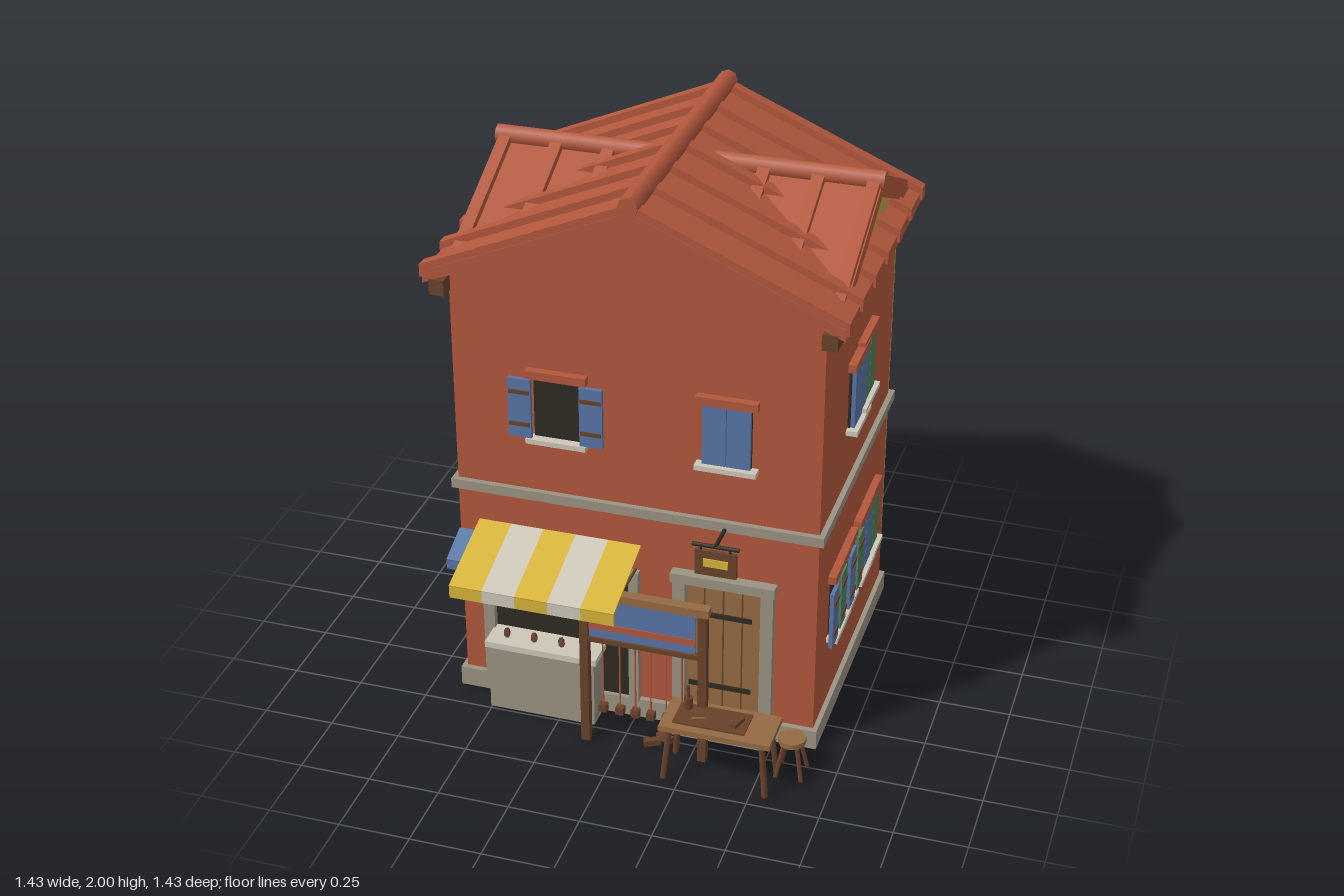
import * as THREE from 'three';

const mat = (name, color) => {
  const m = new THREE.MeshStandardMaterial({ color });
  m.name = name;
  return m;
};
const red = mat('terracotta', 0xb3583d), yellow = mat('ochre plaster', 0xc6a44f), stone = mat('stone', 0x9b9383),
  pale = mat('pale stone', 0xcdc7b8), blue = mat('blue paint', 0x5876a6), green = mat('green paint', 0x52825f),
  dark = mat('dark opening', 0x2e2b22), wood = mat('wood', 0x946a42), darkWood = mat('dark wood', 0x69422b),
  gold = mat('awning yellow', 0xd8b43a);

const add = (parent, name, geo, m) => {
  const mesh = new THREE.Mesh(geo, m);
  mesh.name = name;
  parent.add(mesh);
  return mesh;
};
// Box given by its limits
const box = (p, name, m, x0, x1, y0, y1, z0, z1) => {
  const b = add(p, name, new THREE.BoxGeometry(x1 - x0, y1 - y0, z1 - z0), m);
  b.position.set((x0 + x1) / 2, (y0 + y1) / 2, (z0 + z1) / 2);
  return b;
};
// Round bar between two points
const rod = (p, name, m, a, b, r, sides = 6) => {
  const A = new THREE.Vector3(...a), B = new THREE.Vector3(...b), d = B.clone().sub(A);
  const c = add(p, name, new THREE.CylinderGeometry(r, r, d.length(), sides), m);
  c.position.copy(A).add(B).multiplyScalar(0.5);
  c.quaternion.setFromUnitVectors(new THREE.Vector3(0, 1, 0), d.normalize());
  return c;
};
// Extruded outline, centred on its depth
const prism = (p, name, m, pts, depth) => {
  const g = new THREE.ExtrudeGeometry(new THREE.Shape(pts.map(q => new THREE.Vector2(...q))), { depth, bevelEnabled: false });
  return add(p, name, g.translate(0, 0, -depth / 2), m);
};
// Two roof slopes meeting at an apex
const chevron = (p, name, h, apex, slope, t, depth) => {
  const e = apex - slope * h;
  return prism(p, name, red, [[-h, e - t], [0, apex - t], [h, e - t], [h, e], [0, apex], [-h, e]], depth);
};
// Local wall frame: x along the wall, z outward
const wall = (p, name, x, z, turn) => {
  const g = new THREE.Group();
  g.name = name;
  g.position.set(x, 0, z);
  g.rotation.y = turn;
  p.add(g);
  return g;
};

function shutterWindow(p, u, y, paint, open) {
  const w = wall(p, 'window', u, 0, 0), k = paint === green ? -0.002 : 0;
  w.position.y = y;
  box(w, 'opening', dark, -0.082, 0.082, 0, 0.22, 0, 0.008 + k);
  box(w, 'sill', pale, -0.105, 0.105, -0.018, 0, 0, 0.04 + k);
  box(w, 'lintel', red, -0.105, 0.105, 0.22, 0.25, 0, 0.028 + k);
  for (const s of [-1, 1]) {
    const c = s * (open ? 0.124 : 0.0415), z = open ? 0.022 : 0.01;
    box(w, 'shutter', paint, c - 0.04, c + 0.04, 0.002, 0.22, z + k, z + 0.014 + k);
    if (open) for (const h of [0.045, 0.165])
      box(w, 'strap', darkWood, c - 0.036, c + 0.036, h, h + 0.014, z + 0.01, z + 0.018 + k);
  }
}

function plankDoor(p, u, planks = 4) {
  const d = wall(p, 'door', u, 0, 0), pw = 0.265 / planks;
  box(d, 'doorBack', darkWood, -0.133, 0.133, 0.07, 0.6, 0, 0.006);
  for (let i = 0; i < planks; i++)
    box(d, 'plank', wood, -0.1325 + i * pw + 0.003, -0.1325 + (i + 1) * pw - 0.003, 0.075, 0.6, 0, 0.014);
  for (const y of [0.18, 0.47]) box(d, 'hingeStrap', dark, -0.12, 0.1, y, y + 0.018, 0.014, 0.02);
  for (const s of [-1, 1]) box(d, 'jamb', stone, s * 0.154 - 0.022, s * 0.154 + 0.022, 0, 0.6, 0, 0.03);
  box(d, 'doorLintel', stone, -0.182, 0.182, 0.6, 0.635, 0, 0.04);
  box(d, 'doorStep', stone, -0.17, 0.17, 0, 0.035, 0, 0.082);
}

function awning(p, name, colors, x0, x1, z0, z1, yTop, yBot, drop) {
  const a = wall(p, name, 0, 0, 0), w = (x1 - x0) / colors.length;
  colors.forEach((m, i) => {
    const x = x0 + w * (i + 0.5);
    const s = add(a, 'cloth', new THREE.BoxGeometry(w, 0.008, Math.hypot(z1 - z0, yTop - yBot)), m);
    s.position.set(x, (yTop + yBot) / 2, (z0 + z1) / 2);
    s.rotation.x = Math.atan2(yTop - yBot, z1 - z0);
    box(a, 'valance', m, x - w / 2, x + w / 2, yBot - drop, yBot + 0.003, z1 - 0.008, z1);
  });
  for (const x of [x0 + 0.02, x1 - 0.02])
    rod(a, 'awningArm', darkWood, [x, yBot - 0.008, z0], [x, yBot - 0.008, z1 - 0.01], 0.005);
}

function buildRoof(g) {
  const zc = -0.125, crossZ = -0.21, turn = Math.PI / 2;
  chevron(g, 'mainRoof', 0.705, 1.945, 0.43, 0.04, 1.11).position.z = zc;
  for (let i = 0; i < 7; i++)
    chevron(g, 'mainBatten', 0.715, 1.972, 0.43, 0.045, 0.044).position.z = 0.405 - i * 0.178;
  rod(g, 'mainRidge', red, [0, 1.965, -0.69], [0, 1.965, 0.44], 0.035, 8);
  const cross = wall(g, 'crossRoof', 0, crossZ, turn);
  chevron(cross, 'crossSlopes', 0.475, 1.865, 0.47, 0.05, 1.33);
  for (const x of [0.09, 0.27, 0.455, 0.64]) for (const s of [-1, 1])
    chevron(cross, 'crossBatten', 0.488, 1.893, 0.47, 0.045, 0.042).position.z = s * x;
  rod(g, 'crossRidge', red, [-0.675, 1.872, crossZ], [0.675, 1.872, crossZ], 0.034, 8);
  prism(cross, 'sideGables', yellow, [[-0.42, 1.61], [0.42, 1.61], [0, 1.83]], 1.272);
  for (const s of [-1, 1]) box(g, 'sideFascia', darkWood, s * 0.655 - 0.026, s * 0.655 + 0.026, 1.565, 1.62, -0.68, 0.435);
  box(g, 'backFascia', darkWood, -0.63, 0.63, 1.565, 1.615, -0.68, -0.63);
}

function buildShop(g) {
  // Shop opening, counter and side passage
  box(g, 'shopOpening', dark, -0.51, -0.02, 0.075, 0.59, 0.37, 0.386);
  box(g, 'shopJamb', stone, -0.55, -0.51, 0.07, 0.6, 0.37, 0.41);
  box(g, 'passageJamb', stone, -0.02, 0.015, 0.07, 0.6, 0.37, 0.41);
  box(g, 'counter', stone, -0.505, -0.12, 0, 0.255, 0.385, 0.49);
  box(g, 'counterTop', pale, -0.515, -0.11, 0.255, 0.278, 0.385, 0.5);
  for (const x of [-0.45, -0.35, -0.25, -0.16])
    rod(g, 'counterGoods', darkWood, [x - 0.012, 0.282, 0.42], [x + 0.008, 0.3, 0.47], 0.011);
  awning(g, 'stripedAwning', [gold, pale, gold, pale, gold], -0.56, 0.02, 0.385, 0.68, 0.7, 0.612, 0.045);
  awning(g, 'blueAwning', [blue], -0.635, -0.06, 0.385, 0.515, 0.65, 0.6, 0.035);
  // Timber frame with banner and hanging cords
  box(g, 'leftPost', darkWood, -0.138, -0.108, 0, 0.6, 0.55, 0.58);
  box(g, 'rightPost', darkWood, 0.278, 0.308, 0, 0.6, 0.55, 0.58);
  box(g, 'topBeam', wood, -0.14, 0.315, 0.59, 0.62, 0.545, 0.582);
  box(g, 'lowBeam', darkWood, -0.11, 0.28, 0.412, 0.43, 0.555, 0.575);
  box(g, 'banner', blue, -0.108, 0.265, 0.43, 0.59, 0.56, 0.566);
  box(g, 'bannerStripe', red, -0.108, 0.265, 0.463, 0.488, 0.566, 0.569);
  for (const x of [-0.06, 0.0, 0.055, 0.11, 0.165, 0.22]) {
    rod(g, 'cord', red, [x, 0.15, 0.565], [x, 0.415, 0.565], 0.003, 4);
    box(g, 'weight', darkWood, x - 0.014, x + 0.014, 0.13, 0.158, 0.552, 0.578);
  }
  // Hanging sign board
  rod(g, 'signArm', dark, [0.315, 0.828, 0.38], [0.315, 0.828, 0.51], 0.007);
  rod(g, 'signBar', dark, [0.235, 0.826, 0.505], [0.395, 0.826, 0.505], 0.007);
  for (const x of [0.265, 0.365]) rod(g, 'signHook', dark, [x, 0.8, 0.505], [x, 0.826, 0.505], 0.004, 4);
  box(g, 'signBoard', darkWood, 0.245, 0.388, 0.715, 0.808, 0.498, 0.512);
  for (const z of [0.494, 0.512]) box(g, 'signPanel', gold, 0.275, 0.36, 0.75, 0.78, z, z + 0.004);
}

function buildFurniture(g) {
  // Table with board, bottle and small goods
  box(g, 'tableTop', wood, 0.18, 0.565, 0.2, 0.22, 0.54, 0.71);
  for (const sx of [-1, 1]) for (const sz of [-1, 1])
    rod(g, 'tableLeg', darkWood, [0.372 + sx * 0.16, 0.2, 0.625 + sz * 0.06], [0.372 + sx * 0.178, 0, 0.625 + sz * 0.074], 0.011);
  box(g, 'tableBoard', darkWood, 0.22, 0.47, 0.22, 0.226, 0.565, 0.68);
  rod(g, 'bottle', darkWood, [0.25, 0.222, 0.59], [0.25, 0.27, 0.59], 0.016, 8);
  rod(g, 'bottleNeck', darkWood, [0.25, 0.27, 0.59], [0.25, 0.315, 0.59], 0.006, 8);
  box(g, 'smallBlock', darkWood, 0.418, 0.443, 0.226, 0.24, 0.6, 0.66).rotation.y = -0.3;
  rod(g, 'smallTool', wood, [0.28, 0.23, 0.65], [0.32, 0.23, 0.635], 0.004);
  // Round stool
  rod(g, 'stoolSeat', wood, [0.6, 0.125, 0.54], [0.6, 0.145, 0.54], 0.048, 10);
  for (let i = 0; i < 4; i++) {
    const a = Math.PI / 4 + i * Math.PI / 2, c = Math.cos(a), s = Math.sin(a);
    rod(g, 'stoolLeg', darkWood, [0.6 + c * 0.03, 0.13, 0.54 + s * 0.03], [0.6 + c * 0.063, 0, 0.54 + s * 0.063], 0.008);
  }
  // Pair of wooden sandals on the ground
  for (const [x, z, r] of [[0.14, 0.5, -0.4], [0.105, 0.535, 0.45]])
    box(g, 'sandal', darkWood, x - 0.03, x + 0.03, 0, 0.022, z - 0.012, z + 0.012).rotation.y = r;
}

export function createModel() {
  const g = new THREE.Group();
  g.name = 'townhouse';
  // Walls, plinth and belt course
  prism(g, 'houseWalls', red, [[-0.633, 0], [0.633, 0], [0.633, 1.635], [0, 1.908], [-0.633, 1.635]], 1.01).position.z = -0.125;
  box(g, 'backPlaster', yellow, -0.633, 0.633, 0.22, 1.61, -0.637, -0.625);
  box(g, 'plinth', stone, -0.65, 0.65, 0.002, 0.075, -0.65, 0.4);
  box(g, 'beltCourse', stone, -0.652, 0.652, 0.82, 0.855, -0.655, 0.4);
  buildRoof(g);

  const front = wall(g, 'frontWall', 0, 0.38, 0);
  shutterWindow(front, -0.265, 1.07, blue, true);
  shutterWindow(front, 0.317, 1.07, blue, false);
  plankDoor(front, 0.313);

  const sides = [wall(g, 'leftWall', 0.633, 0, Math.PI / 2), wall(g, 'rightWall', -0.633, 0, -Math.PI / 2)];
  sides.forEach((w, i) => {
    const u = z => (i ? z : -z);
    shutterWindow(w, u(-0.05), 1.07, blue, i === 1);
    shutterWindow(w, u(-0.185), 1.085, green, i === 1);
    shutterWindow(w, u(0.127), 0.35, blue, true);
    shutterWindow(w, u(0.005), 0.352, green, true);
    shutterWindow(w, u(-0.242), 0.35, blue, false);
    shutterWindow(w, u(-0.367), 0.352, green, false);
  });

  const back = wall(g, 'backWall', 0, -0.637, Math.PI);
  shutterWindow(back, -0.24, 1.07, blue, true);
  shutterWindow(back, -0.24, 1.075, green, false);
  shutterWindow(back, 0.27, 1.075, green, true);
  plankDoor(back, 0.25);
  box(back, 'doorBar', pale, 0.14, 0.36, 0.345, 0.365, 0.014, 0.021);
  plankDoor(back, -0.25);
  shutterWindow(wall(back, 'backWindow', 0, 0.016, 0), -0.25, 0.352, green, true);

  buildShop(g);
  buildFurniture(g);
  return g;
}
